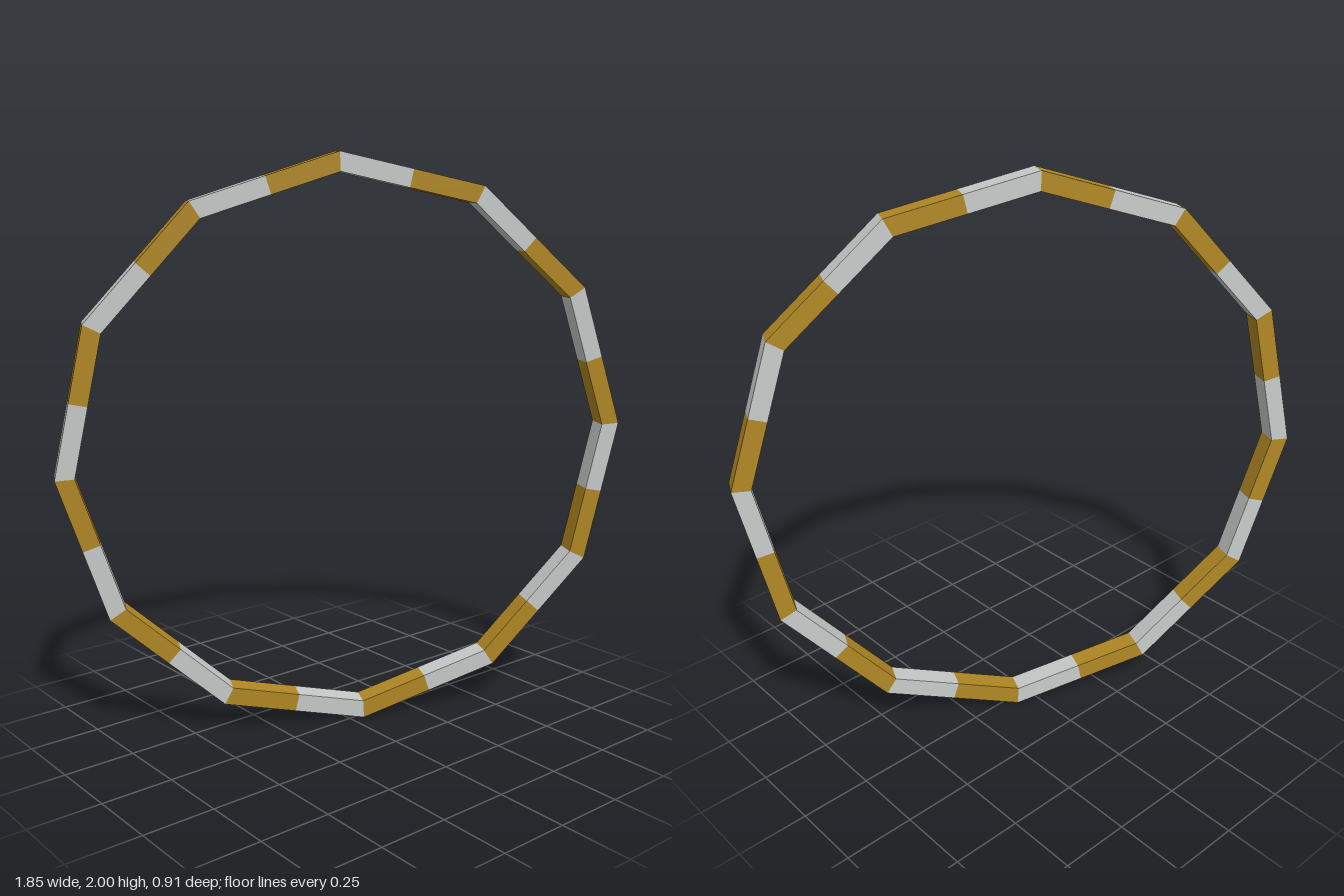
import * as THREE from 'three';

const SIDES = 12;
const OUTER = 1.001, INNER = 0.936, HALF_DEPTH = 0.0385;
const START = THREE.MathUtils.degToRad(3);

// Rectangular profile as [radius, z]: outer front, outer back, inner back, inner front
const PROFILE = [
  [OUTER, HALF_DEPTH], [OUTER, -HALF_DEPTH], [INNER, -HALF_DEPTH], [INNER, HALF_DEPTH],
];

// Profile placed at corner i of the twelve-sided ring
function cornerSection(i) {
  const a = START + (i / SIDES) * Math.PI * 2;
  return PROFILE.map(([r, z]) => new THREE.Vector3(r * Math.cos(a), r * Math.sin(a), z));
}

// Straight tube walls between two sections, with one flat quad per side
function wallGeometry(a, b) {
  const positions = [];
  for (let k = 0; k < 4; k++) {
    const n = (k + 1) % 4;
    for (const p of [a[n], b[n], b[k], a[n], b[k], a[k]]) positions.push(p.x, p.y, p.z);
  }
  const geometry = new THREE.BufferGeometry();
  geometry.setAttribute('position', new THREE.Float32BufferAttribute(positions, 3));
  geometry.computeVertexNormals();
  return geometry;
}

export function createModel() {
  const gold = new THREE.MeshStandardMaterial({ color: 0xb08724 });
  gold.name = 'gold';
  const silver = new THREE.MeshStandardMaterial({ color: 0xc6cac8 });
  silver.name = 'silver';

  const model = new THREE.Group();
  model.name = 'stripedHoop';

  // Hoop turned about the vertical and leaning slightly forward
  const ring = new THREE.Group();
  ring.name = 'ring';
  ring.rotation.set(THREE.MathUtils.degToRad(2), THREE.MathUtils.degToRad(-24.8), 0, 'YXZ');
  ring.position.y = 1;
  model.add(ring);

  // Every side is half gold and half silver
  for (let i = 0; i < SIDES; i++) {
    const start = cornerSection(i);
    const end = cornerSection(i + 1);
    const middle = start.map((p, k) => p.clone().lerp(end[k], 0.5));
    const goldBand = new THREE.Mesh(wallGeometry(start, middle), gold);
    goldBand.name = `goldBand${i + 1}`;
    const silverBand = new THREE.Mesh(wallGeometry(middle, end), silver);
    silverBand.name = `silverBand${i + 1}`;
    ring.add(goldBand, silverBand);
  }
  return model;
}
